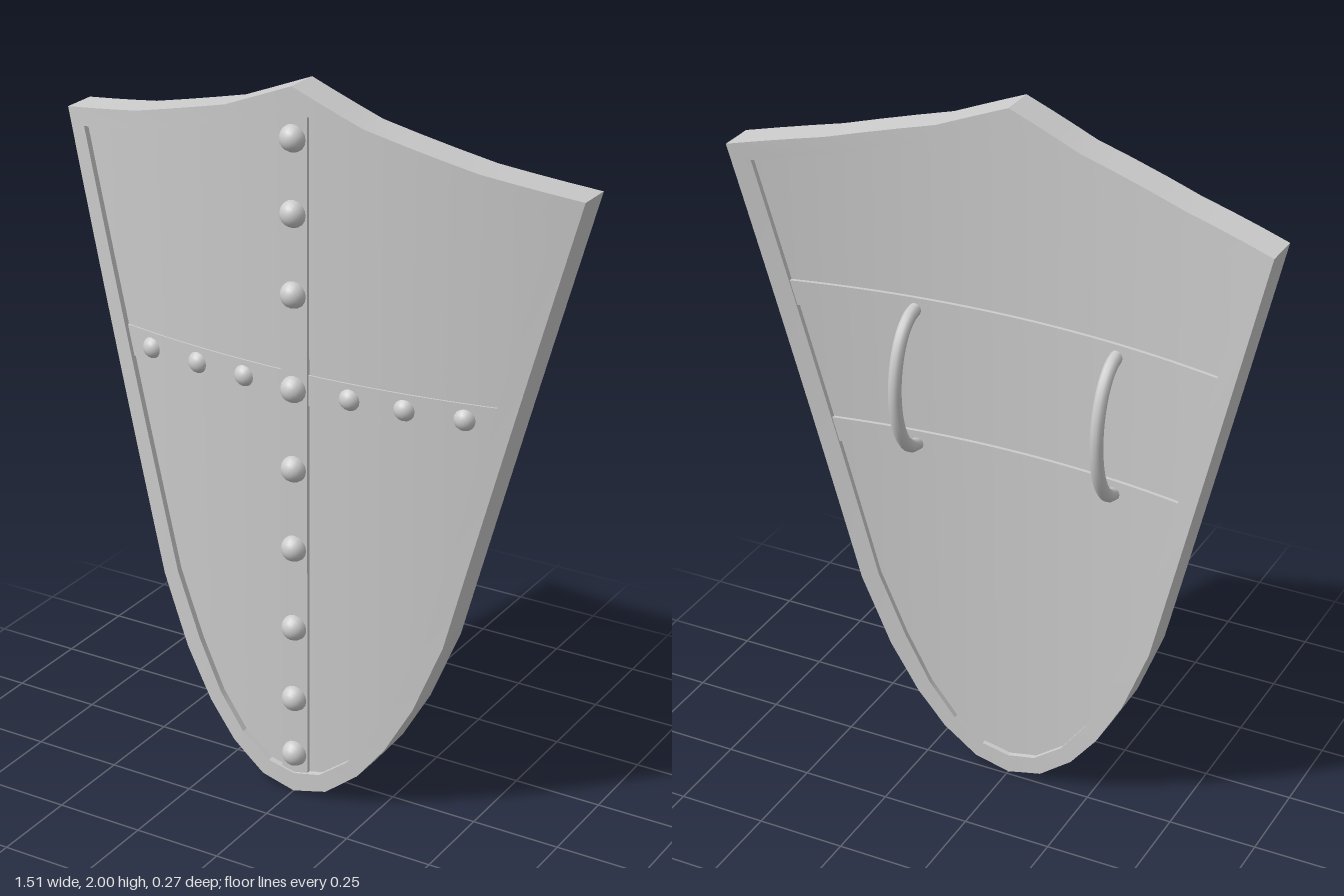
import * as THREE from 'three';
import { toCreasedNormals } from 'three/addons/utils/BufferGeometryUtils.js';

const material = new THREE.MeshStandardMaterial({ color: 0xcccccc });

// The whole shield is bowed about a vertical axis
const bow = (x) => -0.19 * x * x;

// Half outlines from the top point, round the corner, down to the tip
const OUTER = [[0, 2], [0.2, 1.92], [0.5, 1.845], [0.757, 1.8], [0.434, 0.54], [0.354, 0.34],
  [0.275, 0.2], [0.196, 0.1], [0.1, 0.025], [0, 0]];
const INNER = [[0, 1.945], [0.19, 1.875], [0.47, 1.8], [0.695, 1.76], [0.385, 0.56], [0.31, 0.375],
  [0.24, 0.235], [0.165, 0.135], [0.08, 0.072], [0, 0.055]];
const MIDDLE = OUTER.map((p, i) => [(p[0] + INNER[i][0]) / 2, (p[1] + INNER[i][1]) / 2]);
const CORNER = 3;

const mesh = (name, geometry) => {
  const m = new THREE.Mesh(geometry, material);
  m.name = name;
  return m;
};

// Skin a row of four-cornered sections, bowing every point
function loft(sections, closed) {
  const pos = [], index = [], n = sections.length;
  for (const s of sections) for (const [x, y, z] of s) pos.push(x, y, z + bow(x));
  for (let i = 0; i < (closed ? n : n - 1); i++) {
    for (let j = 0; j < 4; j++) {
      const k = (j + 1) % 4, next = (i + 1) % n;
      const a = i * 4 + j, b = i * 4 + k, c = next * 4 + k, d = next * 4 + j;
      index.push(a, b, c, a, c, d);
    }
  }
  if (!closed) {
    const e = (n - 1) * 4;
    index.push(0, 2, 1, 0, 3, 2, e, e + 1, e + 2, e, e + 2, e + 3);
  }
  const g = new THREE.BufferGeometry();
  g.setAttribute('position', new THREE.Float32BufferAttribute(pos, 3));
  g.setIndex(index);
  return toCreasedNormals(g, 0.28);
}

// Bowed plate between two height functions
function plate(halfWidth, top, bottom, front, back, steps) {
  const sections = [];
  for (let i = 0; i <= steps; i++) {
    const x = halfWidth * (2 * i / steps - 1);
    const t = top(x), b = bottom(x);
    sections.push([[x, t, front], [x, b, front], [x, b, back], [x, t, back]]);
  }
  return loft(sections, false);
}

// Full closed outline, clockwise from the top, long edges subdivided
function fullOutline(half) {
  const mirrored = half.slice(1, -1).reverse().map(([x, y]) => [-x, y]);
  const points = [...half, ...mirrored];
  const out = [];
  points.forEach((p, i) => {
    const q = points[(i + 1) % points.length];
    const long = i === CORNER || i === points.length - CORNER - 1;
    const steps = long ? 10 : 3;
    for (let s = 0; s < steps; s++) {
      const t = s / steps;
      out.push([p[0] + (q[0] - p[0]) * t, p[1] + (q[1] - p[1]) * t]);
    }
  });
  return out;
}

// Height of a polyline (sorted by x) at |x|
function heightOn(line) {
  return (x) => {
    const ax = Math.abs(x);
    for (let i = 1; i < line.length; i++) {
      const [x0, y0] = line[i - 1], [x1, y1] = line[i];
      if (ax <= x1) return y0 + (y1 - y0) * (ax - x0) / (x1 - x0);
    }
    return line[line.length - 1][1];
  };
}

export function createModel() {
  const group = new THREE.Group();
  group.name = 'shield';

  // Raised rim
  const outer = fullOutline(OUTER), inner = fullOutline(INNER);
  const rim = outer.map(([x, y], i) => {
    const [u, v] = inner[i];
    return [[x, y, 0.11], [u, v, 0.11], [u, v, 0.01], [x, y, 0.01]];
  });
  group.add(mesh('rim', loft(rim, true)));

  // Recessed panel, its edge hidden inside the rim
  const top = heightOn(MIDDLE.slice(0, CORNER + 1));
  const bottom = heightOn(MIDDLE.slice(CORNER).reverse());
  group.add(mesh('panel', plate(MIDDLE[CORNER][0], top, bottom, 0.092, 0.024, 64)));

  // Front cross
  const band = (name, w, y, h, front, back) =>
    group.add(mesh(name, plate(w, () => y + h / 2, () => y - h / 2, front, back, 32)));
  band('verticalBar', 0.04, 0.995, 1.93, 0.103, 0.06);
  band('horizontalBar', 0.575, 1.192, 0.085, 0.097, 0.06);

  // Back straps
  band('upperStrap', 0.63, 1.39, 0.07, 0.05, 0.014);
  band('lowerStrap', 0.525, 0.995, 0.07, 0.05, 0.014);

  // Domed rivets along the cross
  const rivets = new THREE.Group();
  rivets.name = 'rivets';
  const rivet = (x, y, z, r) => {
    const m = mesh('rivet', new THREE.SphereGeometry(r, 16, 10).rotateX(Math.PI / 2));
    m.position.set(x, y, z + bow(x));
    rivets.add(m);
  };
  for (const y of [1.865, 1.667, 1.45, 1.19, 0.965, 0.735, 0.5, 0.285, 0.115]) rivet(0, y, 0.1, 0.037);
  for (const x of [0.158, 0.31, 0.47]) for (const s of [-1, 1]) rivet(s * x, 1.19, 0.085, 0.032);
  group.add(rivets);

  // Curved grips between the straps
  for (const x of [0.267, -0.312]) {
    const points = [];
    for (let i = 0; i <= 12; i++) {
      const a = Math.PI * i / 12;
      points.push(new THREE.Vector3(x, 1.192 + 0.2 * Math.cos(a), 0.004 - 0.12 * Math.sin(a)));
    }
    const path = new THREE.CatmullRomCurve3(points);
    const grip = new THREE.Group();
    grip.name = 'grip';
    grip.add(mesh('gripBar', new THREE.TubeGeometry(path, 32, 0.018, 10)));
    // Rounded ends
    for (const p of [points[0], points[12]]) {
      const end = mesh('gripEnd', new THREE.SphereGeometry(0.018, 10, 8));
      end.position.copy(p);
      grip.add(end);
    }
    group.add(grip);
  }
  return group;
}
